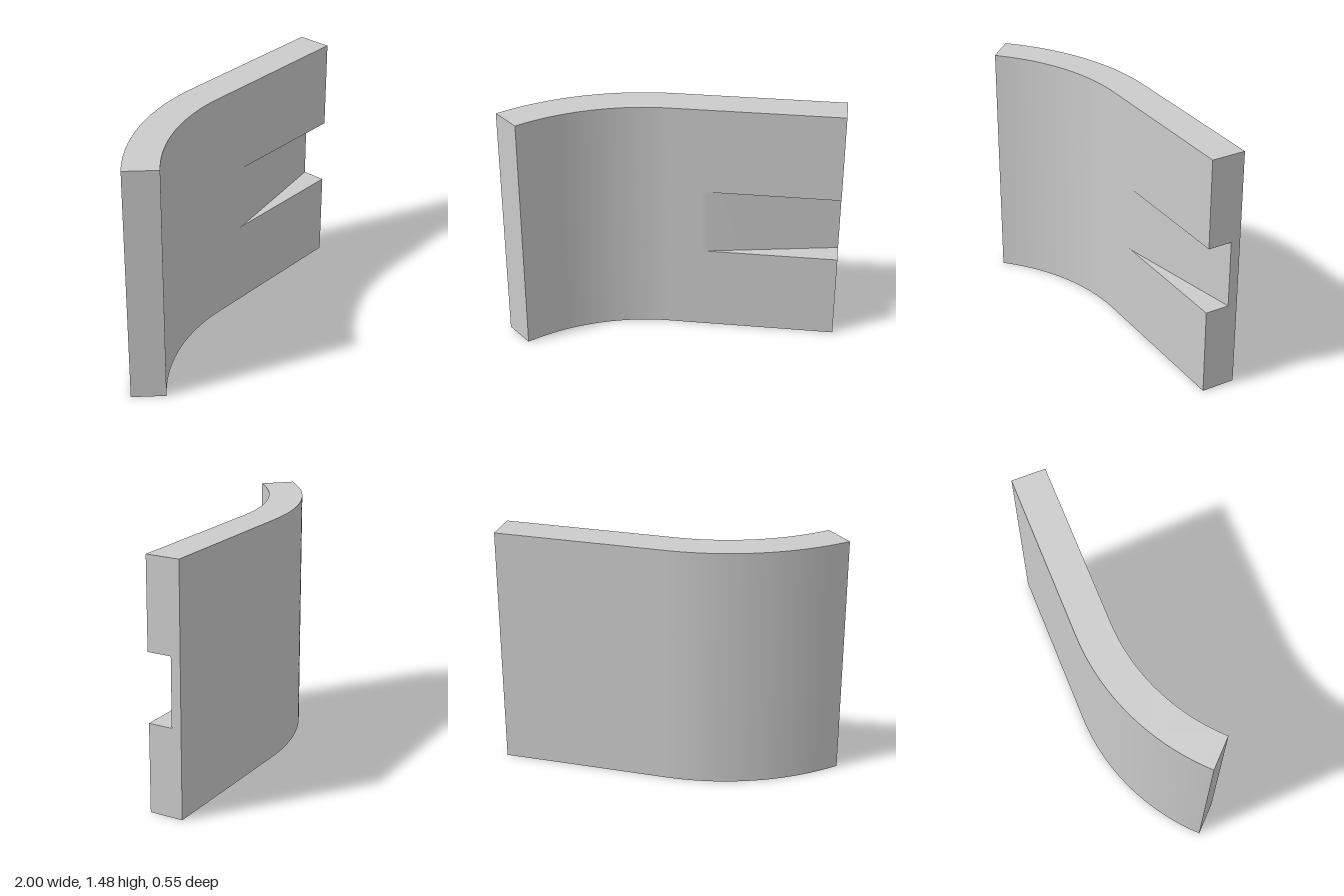
import * as THREE from 'three';
import { toCreasedNormals } from 'three/addons/utils/BufferGeometryUtils.js';

const BACK = 0.277, FRONT = 0.071;       // depth behind the centre plane
const HEIGHT = 1.48, SLOT_BOTTOM = 0.53, SLOT_TOP = 0.94;
const RADIUS = 1.385, BEND_X = -0.021;   // back face of the bend

// Plan outline of the plate: straight on the left, bent 45 degrees forward on the right
function planShape(slotted) {
  const cy = BACK - RADIUS;
  const inner = RADIUS - (BACK - FRONT);
  const s = new THREE.Shape();
  s.moveTo(1, slotted ? 0.218 : FRONT);
  s.lineTo(1, BACK);
  s.lineTo(BEND_X, BACK);
  s.absarc(BEND_X, cy, RADIUS, Math.PI / 2, Math.PI * 0.75, false);
  s.absarc(BEND_X, cy, inner, Math.PI * 0.75, Math.PI / 2, true);
  if (slotted) {
    // ramped slot floor with a softly rounded start
    s.lineTo(0.17, FRONT);
    s.quadraticCurveTo(0.195, FRONT, 0.22, 0.0756);
  }
  s.closePath();
  return s;
}

function band(name, y0, y1, slotted, material) {
  const geo = new THREE.ExtrudeGeometry(planShape(slotted), {
    depth: y1 - y0, bevelEnabled: false, curveSegments: 24,
  });
  geo.rotateX(-Math.PI / 2);
  geo.translate(0, y0, 0);
  const mesh = new THREE.Mesh(toCreasedNormals(geo, Math.PI / 6), material);
  mesh.name = name;
  return mesh;
}

export function createModel() {
  const group = new THREE.Group();
  group.name = 'bentPlate';
  const material = new THREE.MeshStandardMaterial({ color: 0xcccccc });
  group.add(
    band('lowerPlate', 0, SLOT_BOTTOM, false, material),
    band('slottedPlate', SLOT_BOTTOM, SLOT_TOP, true, material),
    band('upperPlate', SLOT_TOP, HEIGHT, false, material),
  );
  return group;
}
